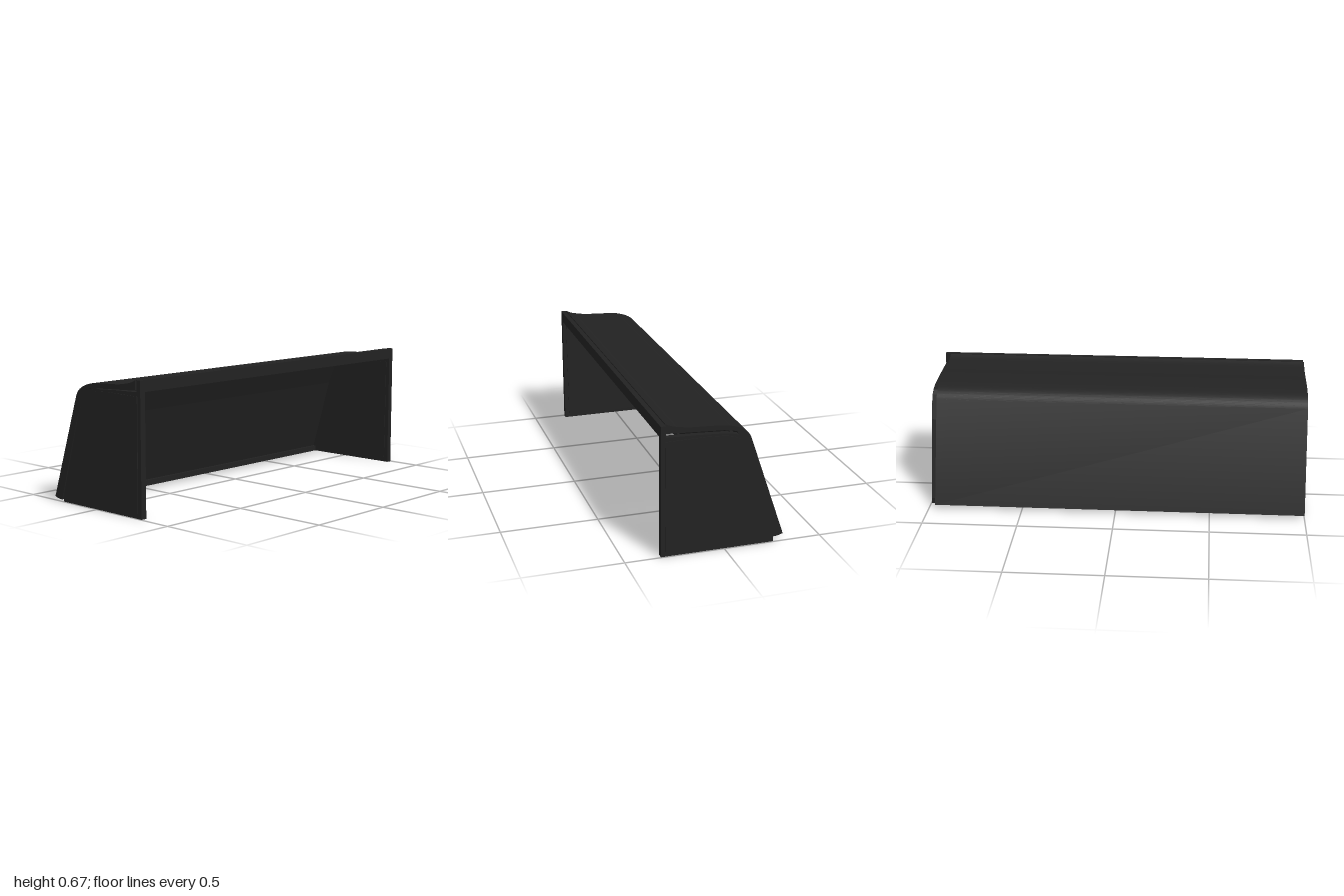
import * as THREE from 'three';
import { toCreasedNormals } from 'three/addons/utils/BufferGeometryUtils.js';

const material = new THREE.MeshStandardMaterial({ color: 0x222222 });

// Extrude a side profile of [z, y] points along x from x0 to x1
function profileMesh(name, points, x0, x1, smooth = false) {
  const shape = new THREE.Shape(points.map(([z, y]) => new THREE.Vector2(-z, y)));
  let geometry = new THREE.ExtrudeGeometry(shape, { depth: x1 - x0, bevelEnabled: false });
  geometry.rotateY(Math.PI / 2);
  geometry.translate(x0, 0, 0);
  if (smooth) geometry = toCreasedNormals(geometry, 0.5);
  const mesh = new THREE.Mesh(geometry, material);
  mesh.name = name;
  return mesh;
}

// Smooth run of profile points
function spline(points, steps) {
  const curve = new THREE.SplineCurve(points.map(([z, y]) => new THREE.Vector2(z, y)));
  return curve.getPoints(steps).map((p) => [p.x, p.y]);
}

export function createModel() {
  const model = new THREE.Group();
  model.name = 'counter';

  // Curved cover: worktop rolling over into the slanted back
  const crown = spline([
    [0.29, 0.667], [0.26, 0.653], [0.22, 0.644], [0.165, 0.636], [0.08, 0.632], [0, 0.627],
    [-0.04, 0.62], [-0.08, 0.607], [-0.11, 0.59], [-0.127, 0.573], [-0.138, 0.555],
  ], 36);
  const cover = [
    ...crown,
    [-0.318, 0.02], [-0.3, 0.014], [-0.28, 0.01], [-0.266, 0.01],
    [-0.137, 0.44], [-0.082, 0.56], [-0.067, 0.59], [-0.03, 0.598], [0, 0.602], [0.15, 0.61], [0.29, 0.617],
  ];
  model.add(profileMesh('cover', cover, -1, 0.966, true));

  // Front lip, separated from the cover by a narrow slot
  model.add(profileMesh('frontLip', [[0.32, 0.61], [0.32, 0.667], [0.294, 0.667], [0.294, 0.61]], -0.97, 0.966));

  // End panels with a shallow raised field on the outer face
  const panel = [
    [0.32, 0], [0.32, 0.667], [0.294, 0.667], [0.294, 0.61], [0.15, 0.606], [0, 0.598],
    [-0.03, 0.593], [-0.065, 0.584], [-0.08, 0.56], [-0.135, 0.44], [-0.255, 0.03], [-0.255, 0],
  ];
  const field = [
    [0.296, 0.025], [0.3, 0.589], [0.1, 0.592], [0, 0.587], [-0.04, 0.578], [-0.07, 0.563],
    [-0.098, 0.52], [-0.132, 0.42], [-0.225, 0.03],
  ];
  for (const side of [-1, 1]) {
    const end = new THREE.Group();
    end.name = side > 0 ? 'leftEnd' : 'rightEnd';
    const span = (a, b) => (side > 0 ? [a, b] : [-b, -a]);
    end.add(profileMesh('endPanel', panel, ...span(0.966, 0.996)));
    end.add(profileMesh('endField', field, ...span(0.99, 1)));
    end.add(profileMesh('innerField', field, ...span(0.963, 0.97)));
    model.add(end);
  }

  // Lining against the inside of the slanted back, with a foot rail
  const lining = [
    [-0.082, 0.55], [-0.137, 0.43], [-0.255, 0.03], [-0.24, 0.03], [-0.123, 0.43], [-0.07, 0.55],
  ];
  model.add(profileMesh('backLining', lining, -0.966, 0.966));
  model.add(profileMesh('footRail', [[-0.255, 0], [-0.255, 0.03], [-0.225, 0.03], [-0.225, 0]], -0.966, 0.966));

  return model;
}
